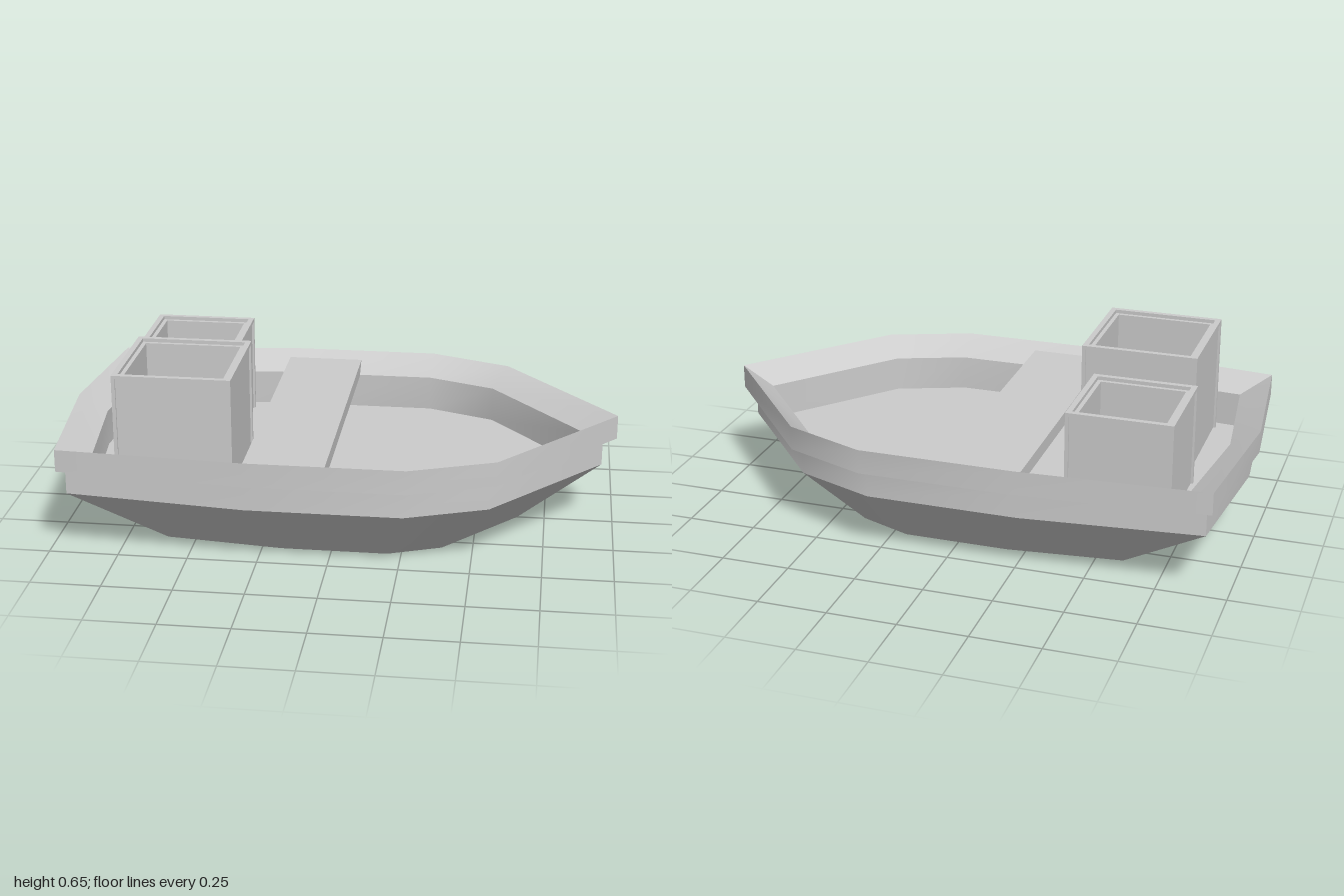
import * as THREE from 'three';
import { toCreasedNormals } from 'three/addons/utils/BufferGeometryUtils.js';

const material = new THREE.MeshStandardMaterial({ color: 0xcccccc });

function addMesh(parent, name, geometry) {
  const mesh = new THREE.Mesh(geometry, material);
  mesh.name = name;
  parent.add(mesh);
  return mesh;
}

// Half outlines [x, z] from stern centre to bow tip
const outlines = {
  keel: [[-0.62, 0], [-0.6, 0.345], [-0.18, 0.375], [0.2, 0.375], [0.39, 0.3], [0.65, 0]],
  band: [[-0.97, 0], [-0.92, 0.515], [-0.28, 0.565], [0.27, 0.565], [0.56, 0.455], [0.95, 0]],
  rim: [[-1, 0], [-0.945, 0.55], [-0.28, 0.605], [0.285, 0.605], [0.585, 0.49], [1, 0]],
  inner: [[-0.895, 0], [-0.84, 0.47], [-0.28, 0.515], [0.28, 0.515], [0.53, 0.42], [0.88, 0]],
};

// Mirrored closed ring at height y, with the stern moved by sternLift
function ring(half, y, sternLift = 0) {
  const mirrored = half.slice(1, -1).reverse().map(([x, z]) => [x, -z]);
  return [...half, ...mirrored].map(([x, z]) =>
    new THREE.Vector3(x, y + (x < -0.5 ? sternLift : 0), z));
}

// Skin over successive rings; flat caps close the first and last
function loft(rings) {
  const pos = [];
  const tri = (...pts) => pts.forEach((p) => pos.push(p.x, p.y, p.z));
  const n = rings[0].length;
  for (let r = 0; r < rings.length - 1; r++) {
    for (let i = 0; i < n; i++) {
      const j = (i + 1) % n;
      const [a, b] = [rings[r], rings[r + 1]];
      tri(a[i], a[j], b[j]);
      tri(a[i], b[j], b[i]);
    }
  }
  const bottom = rings[0];
  const top = rings[rings.length - 1];
  for (let i = 1; i < n - 1; i++) {
    tri(bottom[0], bottom[i + 1], bottom[i]);
    tri(top[0], top[i], top[i + 1]);
  }
  const geometry = new THREE.BufferGeometry();
  geometry.setAttribute('position', new THREE.Float32BufferAttribute(pos, 3));
  return toCreasedNormals(geometry, 0.6);
}

function rectangle(shape, w, d) {
  return shape.moveTo(-w / 2, -d / 2).lineTo(w / 2, -d / 2)
    .lineTo(w / 2, d / 2).lineTo(-w / 2, d / 2).closePath();
}

// Rectangular tube standing on y0
function frame(w, d, wall, y0, y1) {
  const shape = rectangle(new THREE.Shape(), w, d);
  shape.holes.push(rectangle(new THREE.Path(), w - 2 * wall, d - 2 * wall));
  return new THREE.ExtrudeGeometry(shape, { depth: y1 - y0, bevelEnabled: false })
    .rotateX(-Math.PI / 2).translate(0, y0, 0);
}

// Open crate: recessed walls, top lip, corner posts and floor
function createCrate(name, x0, x1, z0, z1, top) {
  const crate = new THREE.Group();
  crate.name = name;
  crate.position.set((x0 + x1) / 2, 0, (z0 + z1) / 2);
  const w = x1 - x0, d = z1 - z0, base = 0.22, post = 0.013, inset = 0.008;
  addMesh(crate, 'crateWalls', frame(w - 2 * inset, d - 2 * inset, 0.027, base, top - 0.013));
  addMesh(crate, 'crateLip', frame(w, d, 0.02, top - 0.013, top));
  for (const sx of [-1, 1]) {
    for (const sz of [-1, 1]) {
      const h = top - 0.013 - base;
      addMesh(crate, 'cratePost', new THREE.BoxGeometry(post, h, post))
        .position.set(sx * (w - post) / 2, base + h / 2, sz * (d - post) / 2);
    }
  }
  addMesh(crate, 'crateFloor', new THREE.BoxGeometry(w - 0.05, 0.02, d - 0.05)).position.y = base + 0.015;
  return crate;
}

export function createModel() {
  const boat = new THREE.Group();
  boat.name = 'boat';

  // Hull: keel plate, chine, side band, rim, sloped gunwale, inner wall, floor
  addMesh(boat, 'hull', loft([
    ring(outlines.keel, 0, 0.008),
    ring(outlines.band, 0.228, 0.008),
    ring(outlines.band, 0.32),
    ring(outlines.rim, 0.332),
    ring(outlines.rim, 0.42, -0.007),
    ring(outlines.inner, 0.35),
    ring(outlines.inner, 0.22),
  ]));

  // Bench: slab whose ends rest on the sloped gunwale
  const section = new THREE.Shape([[-0.565, 0.395], [-0.515, 0.345], [0.515, 0.345], [0.565, 0.395]]
    .map(([z, y]) => new THREE.Vector2(z, y)));
  addMesh(boat, 'bench', new THREE.ExtrudeGeometry(section, { depth: 0.285, bevelEnabled: false })
    .rotateY(-Math.PI / 2));

  boat.add(createCrate('tallCrate', -0.76, -0.34, 0.01, 0.44, 0.655));
  boat.add(createCrate('shortCrate', -0.785, -0.41, -0.455, -0.08, 0.59));
  return boat;
}
